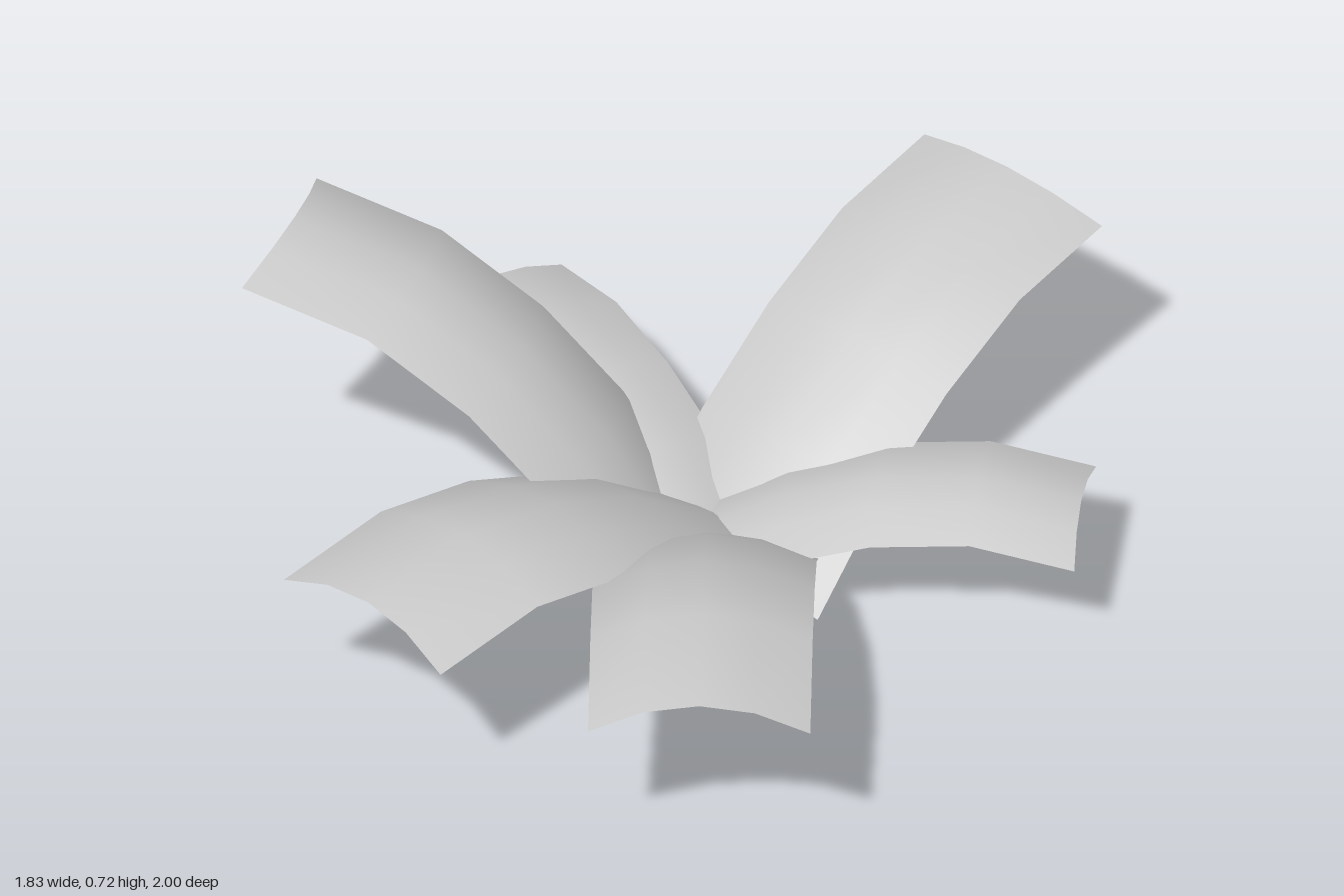
import * as THREE from 'three';

const LENGTH = 1.085, WIDTH = 0.475;
const RISE = [0, 0.093, 0.13, 0.11, 0]; // lengthwise arch at the five rows
const CROWN = 0.06; // crosswise arch

// One arched leaf strip: grows from the origin along +z, upper side +y
function leafGeometry() {
  const geo = new THREE.PlaneGeometry(WIDTH, LENGTH, 4, 4);
  geo.rotateX(-Math.PI / 2).translate(0, 0, LENGTH / 2);
  const pos = geo.attributes.position;
  for (let i = 0; i < pos.count; i++) {
    const across = pos.getX(i) / (WIDTH / 2);
    const row = Math.round((pos.getZ(i) / LENGTH) * 4);
    pos.setY(i, RISE[row] + CROWN * (1 - across * across));
  }
  geo.computeVertexNormals();
  return geo;
}

export function createModel() {
  const model = new THREE.Group();
  model.name = 'leafRosette';
  const material = new THREE.MeshStandardMaterial({ color: 0xcccccc, side: THREE.DoubleSide });
  const geo = leafGeometry();
  const rad = THREE.MathUtils.degToRad;

  // name, base point, yaw, upward pitch, roll (degrees), scale
  const leaves = [
    ['frontLeaf', [0.07, 0.107, -0.04], 0, 16.9, 0, 1],
    ['frontRightLeaf', [0.07, 0.112, -0.105], -44.3, 16.7, 0, 1],
    ['backLeftLeaf', [0.115, 0.022, -0.095], 142.3, 26.3, 4.2, 1],
    ['rightLeaf', [-0.02, 0.07, -0.077], -112.2, 34.2, 6.2, 1],
    ['leftSmallLeaf', [0.04, 0.09, -0.097], 83.8, 10.5, 0, 0.79],
    ['backRightSmallLeaf', [0.032, 0.09, -0.075], -148, 10.5, 0, 0.79],
  ];
  for (const [name, base, yaw, pitch, roll, scale] of leaves) {
    const leaf = new THREE.Mesh(geo, material);
    leaf.name = name;
    leaf.position.set(...base);
    leaf.rotation.set(-rad(pitch), rad(yaw), rad(roll), 'YXZ');
    leaf.scale.setScalar(scale);
    model.add(leaf);
  }
  return model;
}
